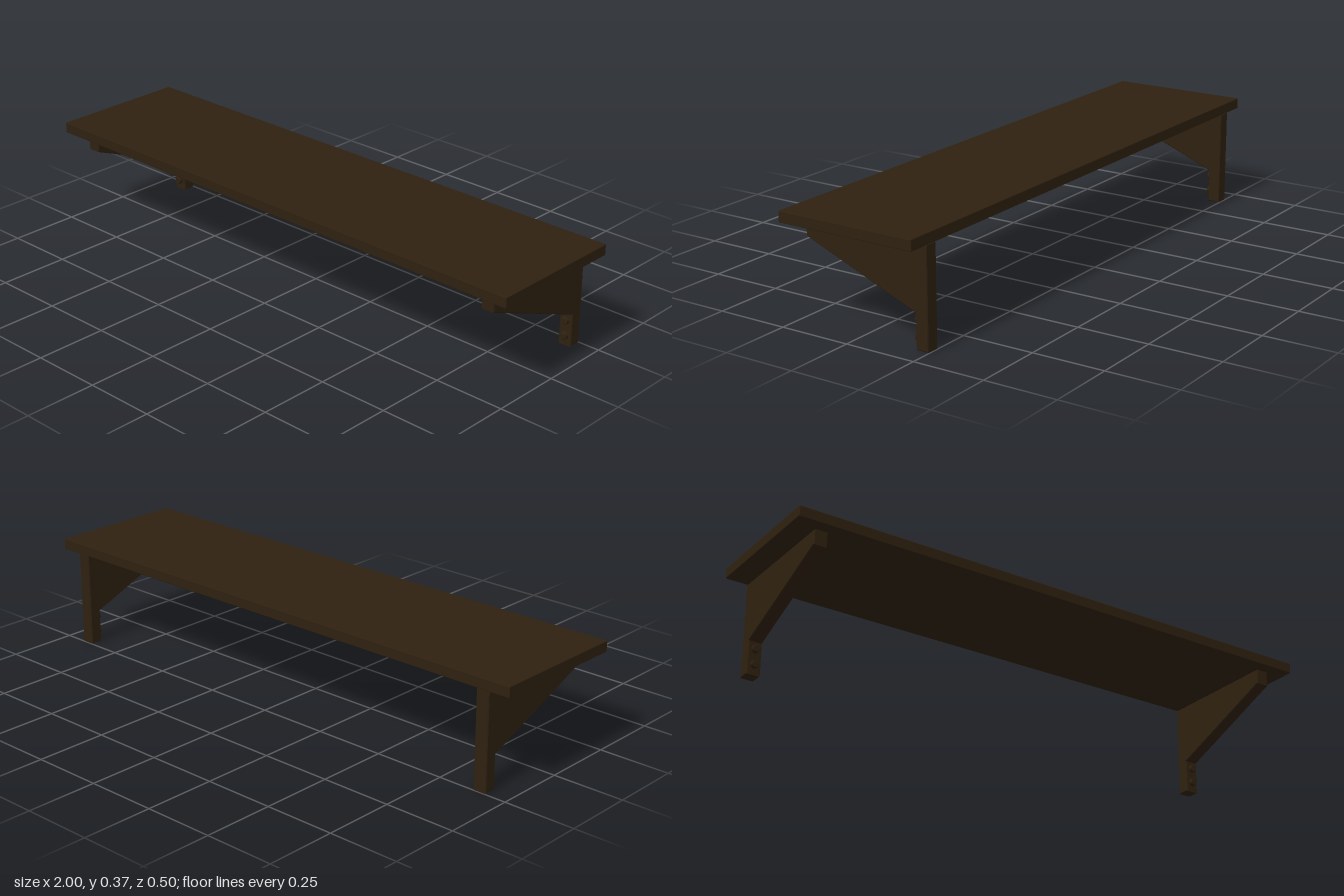
import * as THREE from 'three';
import { RoundedBoxGeometry } from 'three/addons/geometries/RoundedBoxGeometry.js';

const BEVEL = 0.003;

// Side profile of a bracket as (z, y) points
const PROFILE = [
  [-0.247, 0], [-0.203, 0], [-0.203, 0.117], [0.208, 0.281], [0.208, 0.334], [-0.247, 0.334],
];

function bracketGeometry(width) {
  const shape = new THREE.Shape(PROFILE.map(([z, y]) => new THREE.Vector2(z, y)));
  const geometry = new THREE.ExtrudeGeometry(shape, {
    depth: width - 2 * BEVEL,
    bevelEnabled: true,
    bevelThickness: BEVEL,
    bevelSize: BEVEL,
    bevelOffset: -BEVEL,
    bevelSegments: 1,
  });
  geometry.translate(0, 0, BEVEL - width / 2);
  geometry.rotateY(-Math.PI / 2); // profile runs along z, thickness along x
  return geometry;
}

// Screw head with a chamfered rim, facing +z
function screwGeometry() {
  const points = [[0, 0.013], [0.0115, 0.013], [0.0135, 0.011], [0.0135, -0.004], [0, -0.004]]
    .reverse().map(([r, h]) => new THREE.Vector2(r, h));
  const geometry = new THREE.LatheGeometry(points, 16).toNonIndexed();
  geometry.computeVertexNormals();
  geometry.rotateX(Math.PI / 2);
  return geometry;
}

export function createModel() {
  const model = new THREE.Group();
  model.name = 'wallShelf';

  const wood = new THREE.MeshStandardMaterial({ color: 0x2f2110 });
  wood.name = 'darkWood';

  const add = (parent, geometry, name, x, y, z) => {
    const mesh = new THREE.Mesh(geometry, wood);
    mesh.name = name;
    mesh.position.set(x, y, z);
    parent.add(mesh);
  };

  // Shelf board
  add(model, new RoundedBoxGeometry(2, 0.038, 0.5, 1, BEVEL), 'shelfBoard', 0, 0.355, 0);

  // Two brackets, each with a pair of screw heads on its foot
  const bracket = bracketGeometry(0.048);
  const screw = screwGeometry();
  for (const [side, x] of [['left', 0.9], ['right', -0.9]]) {
    const group = new THREE.Group();
    group.name = side + 'Bracket';
    group.position.x = x;
    add(group, bracket, side + 'BracketPlate', 0, 0, 0);
    add(group, screw, side + 'UpperScrew', 0, 0.09, -0.203);
    add(group, screw, side + 'LowerScrew', 0, 0.036, -0.203);
    model.add(group);
  }

  return model;
}
